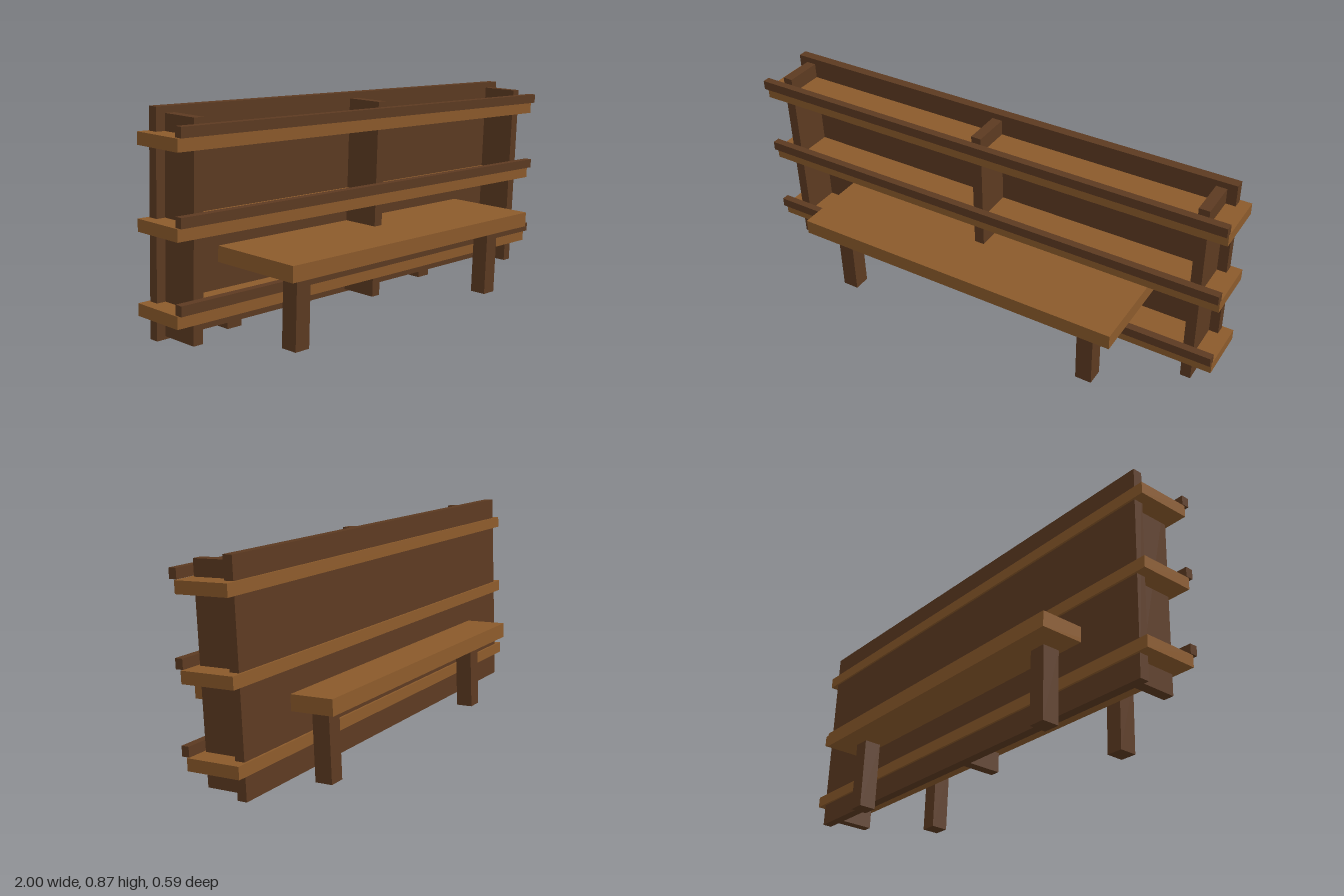
import * as THREE from 'three';

const TILT = 0.043; // the whole piece leans slightly forward

export function createModel() {
  const model = new THREE.Group();
  model.name = 'shelfBench';
  const dark = new THREE.MeshStandardMaterial({ color: 0x5c3a21 });
  const light = new THREE.MeshStandardMaterial({ color: 0x8b5a2b });

  // One timber: size along x, y, z and the position of its centre
  function plank(name, material, [w, h, d], [x, y, z]) {
    const mesh = new THREE.Mesh(new THREE.BoxGeometry(w, h, d), material);
    mesh.name = name;
    mesh.position.set(x, y, z);
    mesh.rotation.x = TILT;
    model.add(mesh);
  }

  // Back board and the three uprights in front of it
  plank('backBoard', dark, [1.914, 0.807, 0.037], [0, 0.466, -0.099]);
  for (const x of [-0.9, 0, 0.9]) {
    plank('upright', dark, [0.041, 0.773, 0.152], [x, 0.456, -0.006]);
  }

  // Three shelves, each with a rail along its front edge
  for (let i = 0; i < 3; i++) {
    plank('shelf', light, [2, 0.045, 0.212], [0, 0.172 + i * 0.294, -0.033 + i * 0.013]);
    plank('shelfRail', dark, [2, 0.037, 0.03], [0, 0.211 + i * 0.294, 0.079 + i * 0.013]);
  }

  // Bench top passing through the shelving, on four legs
  plank('benchTop', light, [1.374, 0.06, 0.588], [0, 0.324, 0.001]);
  for (const x of [-0.56, 0.553]) {
    plank('frontLeg', dark, [0.067, 0.285, 0.069], [x, 0.145, 0.178]);
    plank('backLeg', dark, [0.067, 0.285, 0.069], [x, 0.161, -0.182]);
  }

  return model;
}
